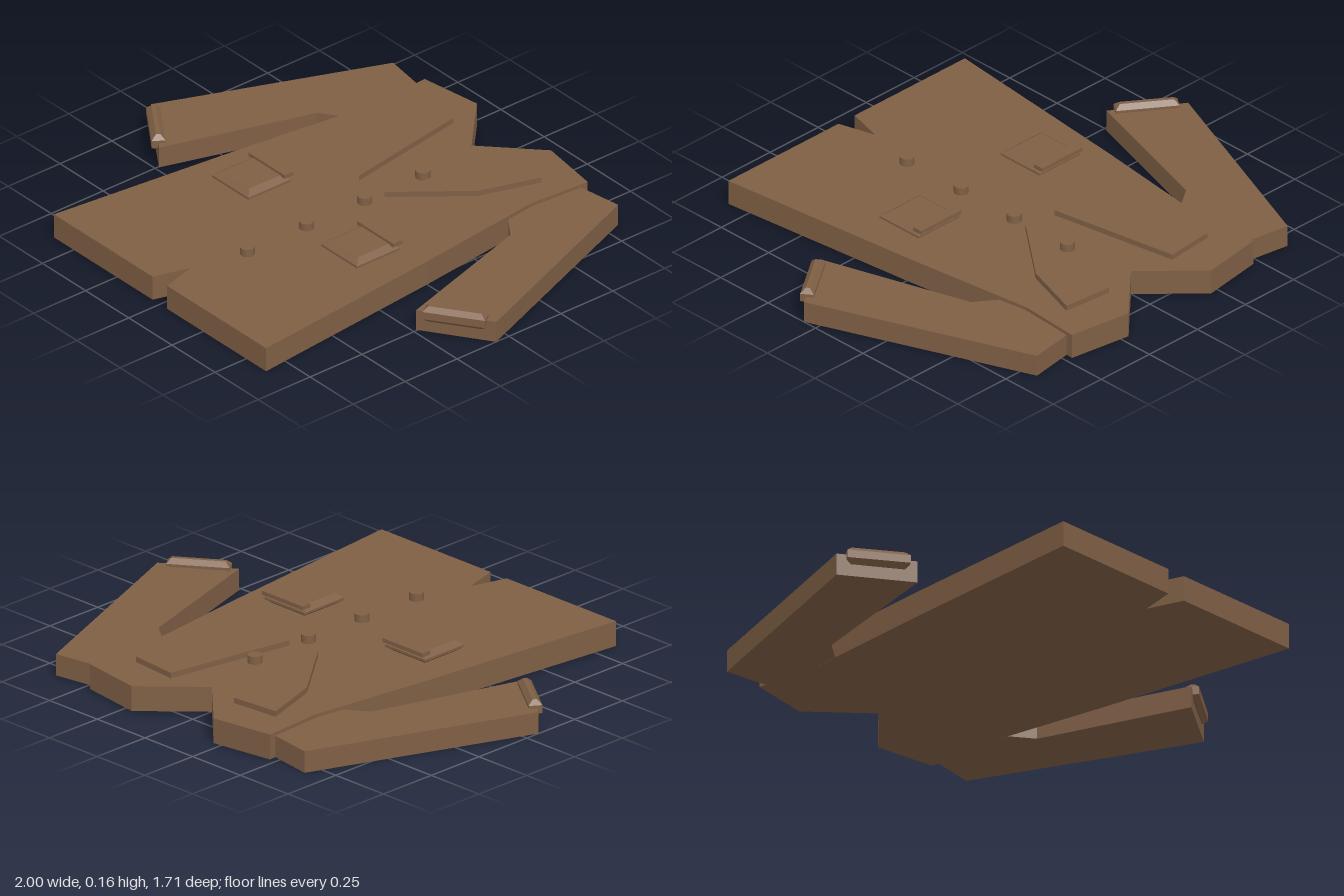
import * as THREE from 'three';

const cloth = new THREE.MeshStandardMaterial({ color: 0x7f5f45 });
cloth.name = 'brown cloth';

// Flat slab lying in the xz plane: outline of [x, z] points, from y0 to y1
function slab(name, points, y0, y1, bevel = 0, rise = bevel) {
  const shape = new THREE.Shape(points.map(([x, z]) => new THREE.Vector2(x, -z)));
  const geometry = new THREE.ExtrudeGeometry(shape, {
    depth: y1 - y0 - 2 * rise,
    bevelEnabled: bevel > 0,
    bevelSize: bevel,
    bevelOffset: -bevel,
    bevelThickness: rise,
    bevelSegments: 1,
  });
  geometry.rotateX(-Math.PI / 2).translate(0, y0 + rise, 0);
  const mesh = new THREE.Mesh(geometry, cloth);
  mesh.name = name;
  return mesh;
}

const rect = (x0, x1, z0, z1) => [[x0, z0], [x1, z0], [x1, z1], [x0, z1]];
const mirror = (points, side) => points.map(([x, z]) => [x * side, z]);

export function createModel() {
  const coat = new THREE.Group();
  coat.name = 'coat';

  // Body: V neck, shoulders, flared hem with a notch
  const half = [[0.215, -0.855], [0.472, -0.817], [0.455, -0.56], [0.525, 0], [0.615, 0.85], [0.042, 0.85]];
  coat.add(slab('body', [[0, -0.65], ...half, [0, 0.7], ...mirror(half, -1).reverse()], 0, 0.1));

  for (const side of [1, -1]) {
    const label = side > 0 ? 'left' : 'right';
    const add = (name, points, ...rest) => coat.add(slab(label + name, mirror(points, side), ...rest));

    add('Sleeve', [[0.47, -0.787], [0.652, -0.815], [1, 0.062], [0.745, 0.235],
      [0.56, -0.372], [0.472, -0.435], [0.455, -0.56]], 0, 0.086);
    add('Lapel', [[0.165, -0.7], [0.367, -0.682], [0.288, -0.44], [0.075, -0.17]], 0.1, 0.122);

    // Pocket with its flap
    add('Pocket', rect(0.21, 0.42, 0.045, 0.25), 0.1, 0.145, 0.025, 0.018);
    add('PocketFlap', rect(0.21, 0.42, 0.032, 0.075), 0.14, 0.156);

    // Cuff strap across the sleeve end
    const cuff = slab(label + 'Cuff', rect(-0.12, 0.12, -0.026, 0.026), 0.048, 0.115, 0.018);
    cuff.position.set(side * 0.868, 0, 0.148);
    cuff.rotation.y = side * 0.61;
    coat.add(cuff);
  }

  // Buttons down the front
  for (const z of [-0.37, -0.09, 0.19, 0.475]) {
    const button = new THREE.Mesh(new THREE.CylinderGeometry(0.028, 0.028, 0.032, 16), cloth);
    button.name = 'button';
    button.position.set(0.055, 0.115, z);
    coat.add(button);
  }
  return coat;
}
